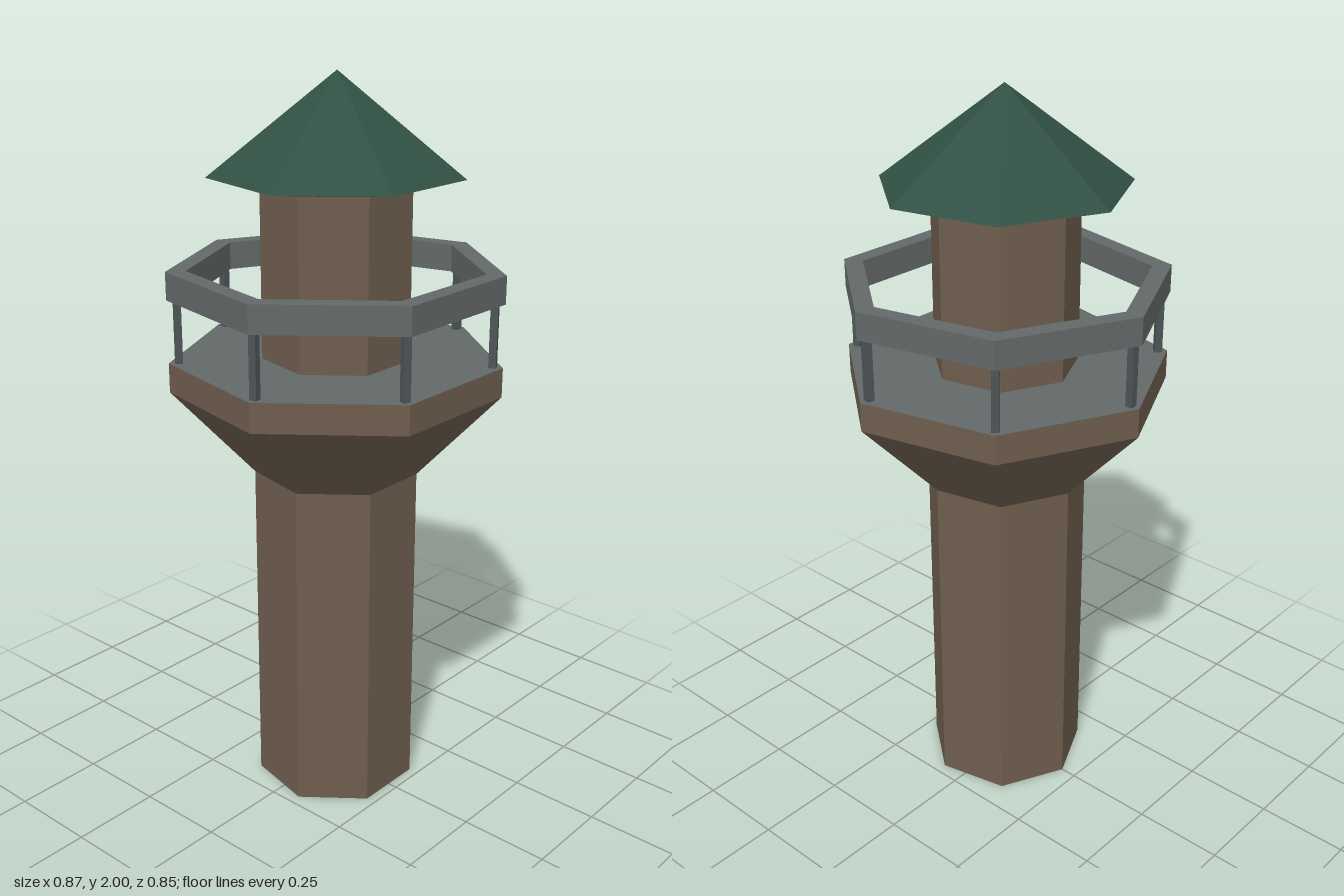
import * as THREE from 'three';

const SIDES = 7;

const paint = (name, color) => {
  const m = new THREE.MeshStandardMaterial({ color, flatShading: true });
  m.name = name;
  return m;
};

// Seven-sided solid from [radius, height] pairs, with one corner pointing back
function heptagon(name, profile, material) {
  const points = profile.map(([r, y]) => new THREE.Vector2(r, y));
  const mesh = new THREE.Mesh(new THREE.LatheGeometry(points, SIDES, Math.PI), material);
  mesh.name = name;
  return mesh;
}

export function createModel() {
  const wood = paint('brown wood', 0x6e5d4e);
  const stone = paint('grey', 0x636868);
  const iron = paint('dark grey', 0x4e5557);
  const tiles = paint('dark green', 0x315044);

  const tower = new THREE.Group();
  tower.name = 'watchtower';

  // Shaft flaring out to the gallery
  tower.add(heptagon('shaft', [[0, 0], [0.225, 0], [0.225, 0.94]], wood));
  tower.add(heptagon('galleryFlare', [[0.225, 0.94], [0.447, 1.18], [0.447, 1.26]], wood));
  tower.add(heptagon('galleryFloor', [[0.447, 1.26], [0, 1.26]], stone));

  // Cabin, eaves and pointed roof
  tower.add(heptagon('cabin', [[0.2, 1.26], [0.2, 1.717]], wood));
  tower.add(heptagon('eaves', [[0.2, 1.717], [0.337, 1.742]], wood));
  tower.add(heptagon('roof', [[0.337, 1.742], [0, 2]], tiles));

  // Railing ring
  tower.add(heptagon('railing',
    [[0.394, 1.43], [0.447, 1.43], [0.447, 1.505], [0.394, 1.505], [0.394, 1.43]], stone));

  // One post under each corner of the railing
  const postShape = new THREE.BoxGeometry(0.02, 0.17, 0.02);
  for (let i = 0; i < SIDES; i++) {
    const a = Math.PI + (i * 2 * Math.PI) / SIDES;
    const post = new THREE.Mesh(postShape, iron);
    post.name = 'railingPost';
    post.position.set(0.42 * Math.sin(a), 1.345, 0.42 * Math.cos(a));
    post.rotation.y = a;
    tower.add(post);
  }

  // Centre the uneven front-to-back outline
  tower.position.z = 0.02;
  const model = new THREE.Group();
  model.add(tower);
  return model;
}
